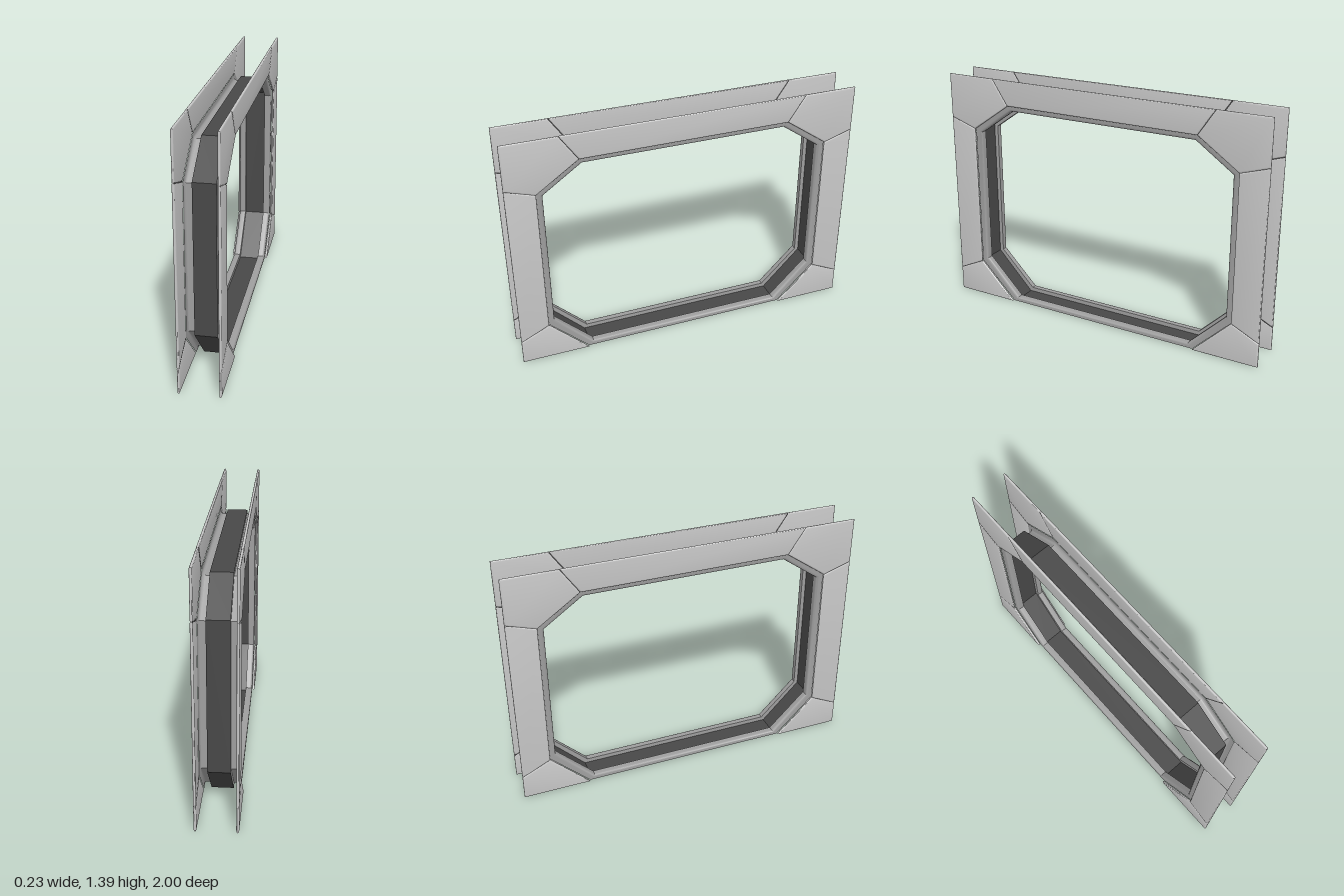
import * as THREE from 'three';
import { toCreasedNormals } from 'three/addons/utils/BufferGeometryUtils.js';

const panelGrey = new THREE.MeshStandardMaterial({ color: 0xc8c8c8 });
panelGrey.name = 'panel grey';
const trimGrey = new THREE.MeshStandardMaterial({ color: 0x9e9e9e, side: THREE.DoubleSide });
trimGrey.name = 'trim grey';
const darkGrey = new THREE.MeshStandardMaterial({ color: 0x484848, side: THREE.DoubleSide });
darkGrey.name = 'dark grey';

const BACK = 0.1, FRONT = 0.115; // inner and outer faces of the panels

// Closed octagon as [z, y] points, from its four points on the +z half
const octagon = (half) => [...half, ...half.map(([z, y]) => [-z, y]).reverse()];
const opening = octagon([[0.578, 1.213], [0.797, 1.06], [0.797, 0.246], [0.578, 0.027]]);
const lipEdge = octagon([[0.595, 1.25], [0.836, 1.082], [0.836, 0.225], [0.608, 0]]);
const bandLoop = octagon([[0.588, 1.235], [0.82, 1.073], [0.82, 0.236], [0.593, 0.002]]);
const blend = (t) => opening.map(([z, y], i) => [
  z + (lipEdge[i][0] - z) * t, y + (lipEdge[i][1] - y) * t]);

// Skin a list of [x, loop] sections
function skin(name, sections, material) {
  const pos = [];
  for (let s = 0; s < sections.length - 1; s++) {
    const [xa, A] = sections[s], [xb, B] = sections[s + 1];
    for (let i = 0; i < A.length; i++) {
      const j = (i + 1) % A.length;
      const a = [xa, A[i][1], A[i][0]], b = [xa, A[j][1], A[j][0]];
      const c = [xb, B[j][1], B[j][0]], d = [xb, B[i][1], B[i][0]];
      pos.push(...a, ...b, ...c, ...a, ...c, ...d);
    }
  }
  const g = new THREE.BufferGeometry();
  g.setAttribute('position', new THREE.Float32BufferAttribute(pos, 3));
  const mesh = new THREE.Mesh(toCreasedNormals(g, 0.6), material);
  mesh.name = name;
  return mesh;
}

// Thin bevelled plate from a [z, y] outline, facing +x
function panel(name, outline) {
  const shape = new THREE.Shape(outline.map(([z, y]) => new THREE.Vector2(-z, y)));
  const bevel = 0.007;
  const g = new THREE.ExtrudeGeometry(shape, {
    depth: FRONT - BACK - 2 * bevel, bevelThickness: bevel,
    bevelSize: 0.01, bevelOffset: -0.01, bevelSegments: 3,
  });
  g.translate(0, 0, BACK + bevel);
  g.rotateY(Math.PI / 2);
  const mesh = new THREE.Mesh(toCreasedNormals(g, 0.6), panelGrey);
  mesh.name = name;
  return mesh;
}

// Dark strip in the groove between two panels
function seam([z1, y1], [z2, y2]) {
  const length = Math.hypot(z2 - z1, y2 - y1) - 0.008;
  const mesh = new THREE.Mesh(new THREE.BoxGeometry(0.009, 0.008, length), darkGrey);
  mesh.position.set(0.106, (y1 + y2) / 2, (z1 + z2) / 2);
  mesh.rotation.x = -Math.atan2(y2 - y1, z2 - z1);
  mesh.name = 'panelSeam';
  return mesh;
}

// One face of the frame: trim lip, panels and seams
function frameFace(name) {
  const face = new THREE.Group();
  face.name = name;

  // Rounded lip around the opening
  const lip = [[0.06, bandLoop], [0.06, opening], [0.086, opening]];
  for (let k = 1; k <= 4; k++) {
    const a = (k / 4) * Math.PI / 2;
    lip.push([0.086 + 0.014 * Math.sin(a), blend(0.38 * (1 - Math.cos(a)))]);
  }
  lip.push([BACK, lipEdge]);
  face.add(skin('openingLip', lip, trimGrey));

  face.add(panel('topPanel', [[0.695, 1.395], [-0.695, 1.395], [-0.595, 1.246], [0.595, 1.246]]));
  for (const s of [1, -1]) {
    const m = (pts) => pts.map(([z, y]) => [s * z, y]);
    face.add(panel('upperCornerPanel',
      m([[1, 1.395], [0.695, 1.395], [0.595, 1.246], [0.834, 1.08], [1, 1.134]])));
    face.add(panel('sidePanel', m([[1, 1.134], [0.834, 1.08], [0.834, 0.224], [1, 0.144]])));
    face.add(panel('lowerCornerPanel', m([[1, 0], [1, 0.144], [0.834, 0.224], [0.61, 0]])));
    for (const [a, b] of [
      [[0.695, 1.395], [0.595, 1.246]],
      [[1, 1.134], [0.834, 1.08]],
      [[1, 0.144], [0.834, 0.224]],
    ]) face.add(seam(...m([a, b])));
  }
  return face;
}

export function createModel() {
  const model = new THREE.Group();
  model.name = 'doorFrame';

  // Recessed dark band running around the opening
  model.add(skin('innerBand', [[-0.06, bandLoop], [0.06, bandLoop]], darkGrey));

  // Two matching faces, back to back
  const left = frameFace('leftFace');
  const right = frameFace('rightFace');
  right.rotation.y = Math.PI;
  model.add(left, right);
  return model;
}
